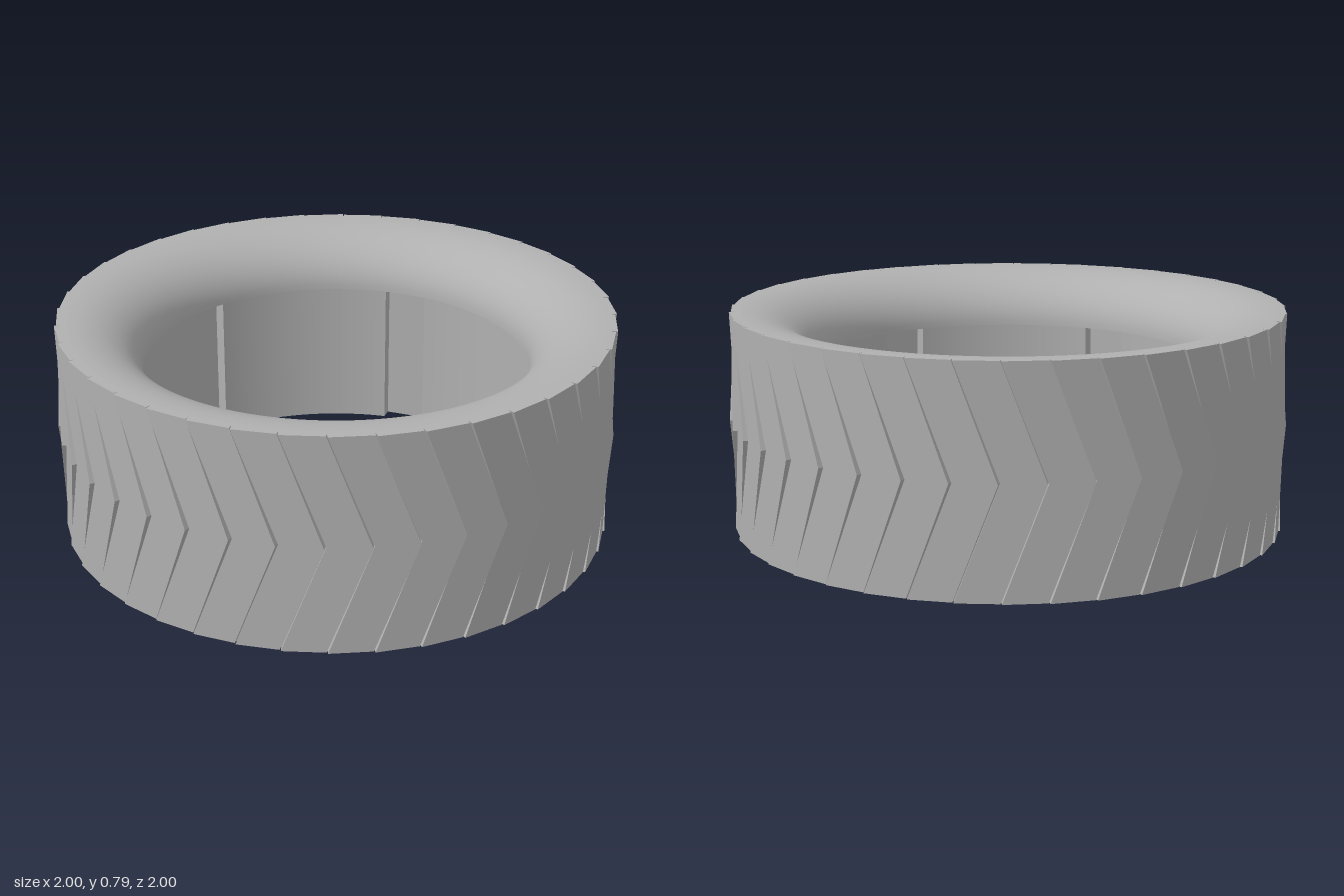
import * as THREE from 'three';
import { toCreasedNormals } from 'three/addons/utils/BufferGeometryUtils.js';

const HEIGHT = 0.79;   // full height of the ring
const LEDGE = 0.59;    // height of the ledge under the lip
const R_OUT = 0.97;    // body radius below the tread
const R_BORE = 0.79;   // bore radius
const R_SLOT = 0.835;  // radius of the slot floors
const R_LIP = 0.69;    // opening at the top

export function createModel() {
  const group = new THREE.Group();
  const rubber = new THREE.MeshStandardMaterial({ color: 0xb0b0b0 });
  rubber.name = 'grey rubber';

  const add = (name, geometry, parent = group) => {
    const mesh = new THREE.Mesh(geometry, rubber);
    mesh.name = name;
    parent.add(mesh);
    return mesh;
  };

  // Sleeve: ring with six slots cut into the bore
  const ring = new THREE.Shape();
  ring.absarc(0, 0, R_OUT, 0, Math.PI * 2, false);
  const bore = new THREE.Path();
  const inner = Math.asin(0.08 / R_BORE);
  const outer = Math.asin(0.08 / R_SLOT);
  const at = (r, a) => [r * Math.cos(a), r * Math.sin(a)];
  for (let i = 0; i < 6; i++) {
    const a = Math.PI / 6 + i * Math.PI / 3;
    if (i === 0) bore.moveTo(...at(R_BORE, a - inner));
    bore.lineTo(...at(R_SLOT, a - outer));
    bore.lineTo(...at(R_SLOT, a + outer));
    bore.lineTo(...at(R_BORE, a + inner));
    bore.absarc(0, 0, R_BORE, a + inner, a + Math.PI / 3 - inner, false);
  }
  ring.holes.push(bore);
  const sleeve = new THREE.ExtrudeGeometry(ring, { depth: LEDGE, bevelEnabled: false, curveSegments: 48 });
  sleeve.rotateX(-Math.PI / 2);
  add('sleeve', toCreasedNormals(sleeve, 0.5));

  // Top: outer wall, flat rim, rounded lip and the ledge below it
  const lathe = (name, points) =>
    add(name, new THREE.LatheGeometry(points.map(([x, y]) => new THREE.Vector2(x, y)), 128));
  lathe('upperWall', [[R_OUT, LEDGE], [R_OUT, HEIGHT]]);
  lathe('rim', [[R_OUT, HEIGHT], [0.95, HEIGHT]]);
  const lip = [];
  for (let i = 0; i <= 16; i++) {
    const a = (i / 16) * Math.PI / 2;
    lip.push([0.95 - (0.95 - R_LIP) * Math.sin(a), LEDGE + (HEIGHT - LEDGE) * Math.cos(a)]);
  }
  lathe('lip', lip);
  lathe('ledge', [[R_LIP, LEDGE], [R_OUT, LEDGE]]);

  // Tread: forty flat chevron plates set around the body
  const back = -0.12, front = 0.03, sweep = 0.15, depth = 0.035, face = 0.984;
  const chevron = new THREE.Shape([
    [back, 0], [front, 0], [front + sweep, HEIGHT / 2],
    [front, HEIGHT], [back, HEIGHT], [back + sweep, HEIGHT / 2],
  ].map(([x, y]) => new THREE.Vector2(x, y)));
  const plate = new THREE.ExtrudeGeometry(chevron, { depth, bevelEnabled: false });
  plate.translate(0, 0, face - depth);
  const lead = Math.atan2(front + sweep, face);
  const tread = new THREE.Group();
  tread.name = 'tread';
  for (let i = 0; i < 40; i++) {
    add('treadPlate', plate, tread).rotation.y = i * Math.PI / 20 - lead;
  }
  group.add(tread);

  return group;
}
